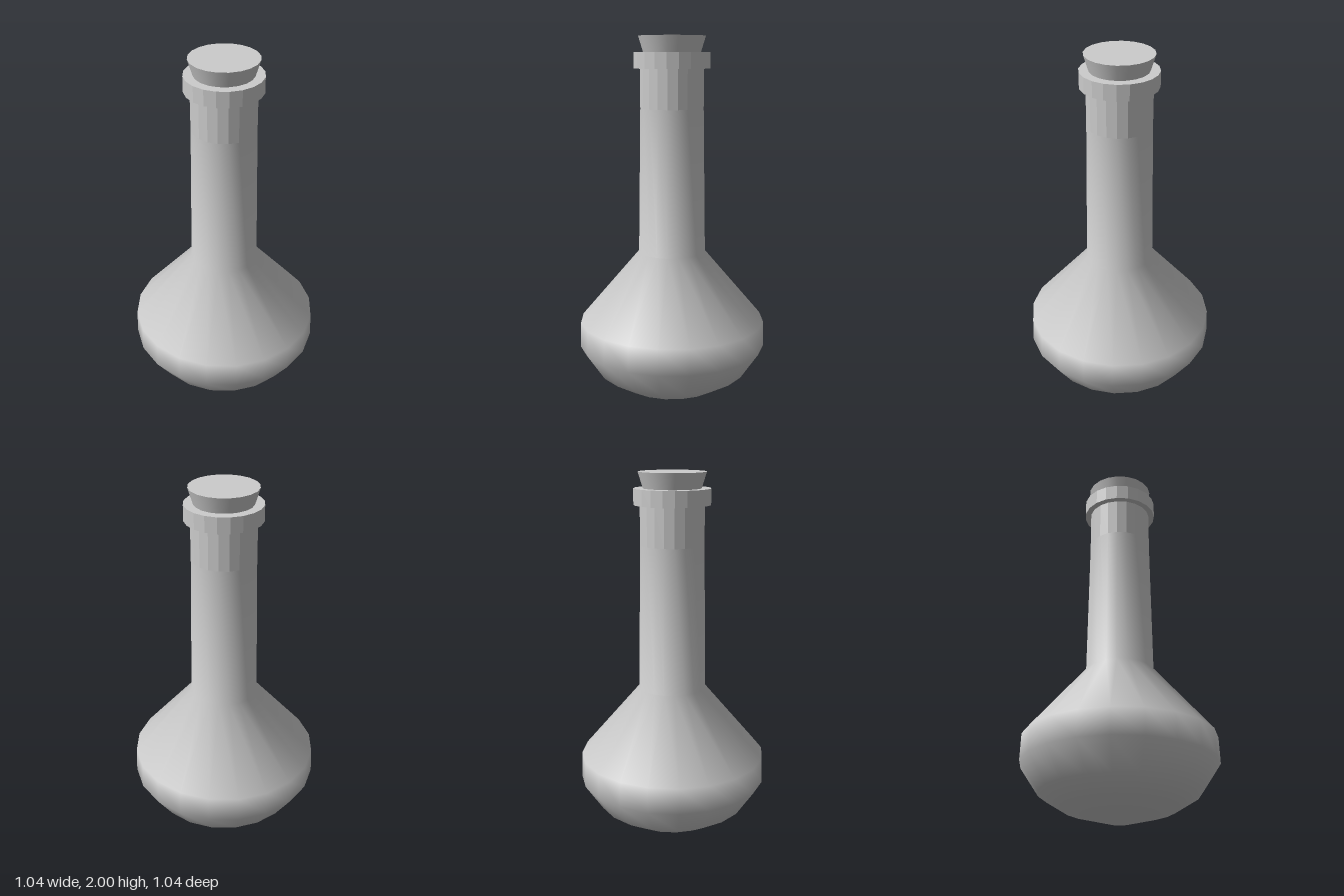
import * as THREE from 'three';

const SIDES = 20;

export function createModel() {
  const group = new THREE.Group();
  const smooth = new THREE.MeshStandardMaterial({ color: 0xcccccc });
  const faceted = new THREE.MeshStandardMaterial({ color: 0xcccccc, flatShading: true });

  const add = (name, geometry, material) => {
    const mesh = new THREE.Mesh(geometry, material);
    mesh.name = name;
    group.add(mesh);
  };
  const lathe = (points) =>
    new THREE.LatheGeometry(points.map(([r, y]) => new THREE.Vector2(r, y)), SIDES);

  // Rounded bulb, sloping shoulder and slightly tapering neck
  add('body', lathe([
    [0, 0], [0.06, 0.007], [0.29, 0.07], [0.42, 0.15], [0.52, 0.3],
    [0.515, 0.44], [0.185, 0.83], [0.172, 1.62],
  ]), smooth);

  // Straight faceted top of the neck
  add('upperNeck', lathe([[0.172, 1.62], [0.172, 1.83]]), faceted);

  // Raised collar around the mouth
  add('lip', lathe([
    [0.172, 1.83], [0.205, 1.83], [0.205, 1.915], [0.15, 1.915],
  ]), faceted);

  // Tapered stopper
  const stopper = new THREE.CylinderGeometry(0.181, 0.155, 0.085, SIDES);
  stopper.translate(0, 1.9575, 0);
  add('stopper', stopper, smooth);

  return group;
}
